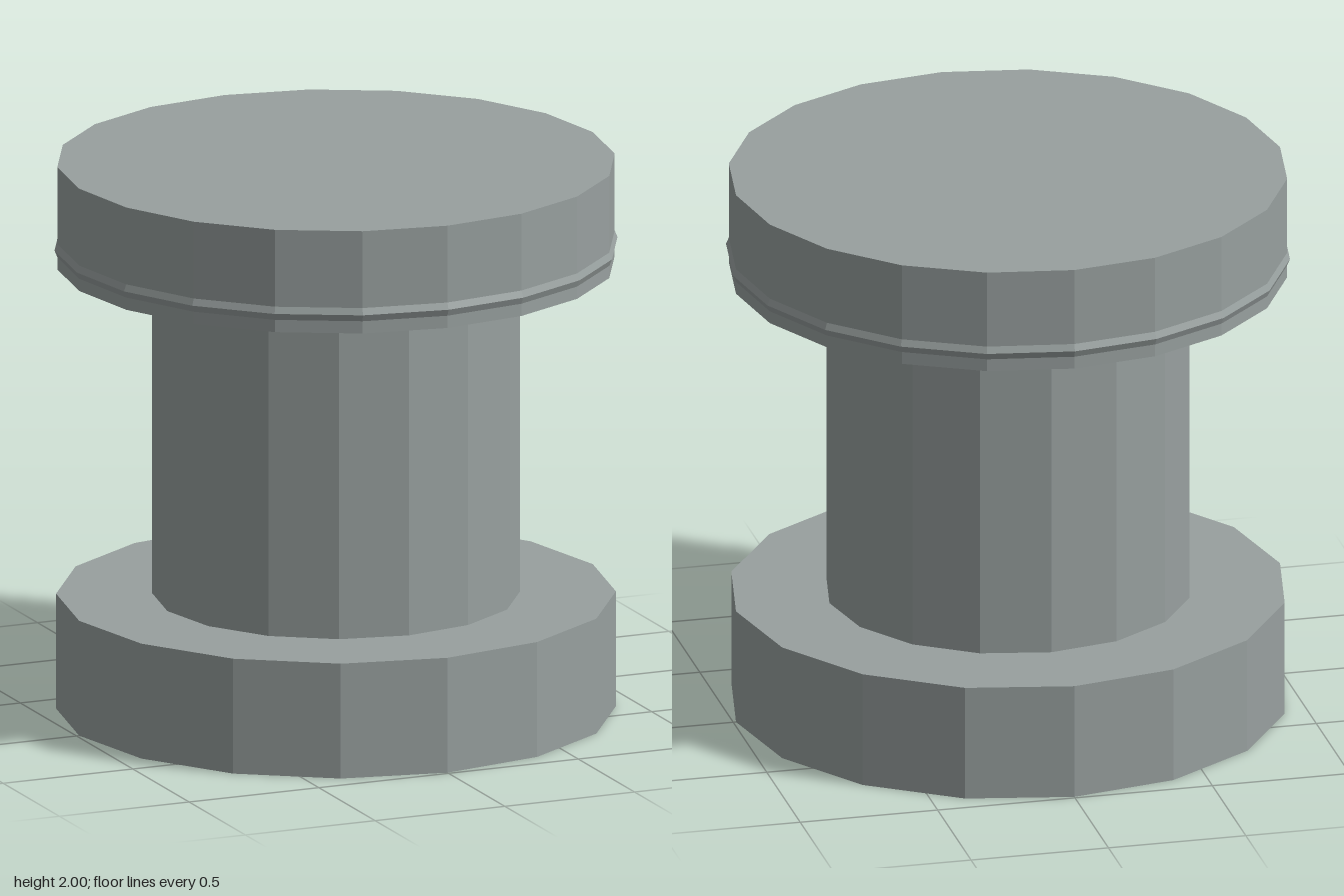
import * as THREE from 'three';

export function createModel() {
  const group = new THREE.Group();
  const steel = new THREE.MeshStandardMaterial({ color: 0x98a09f, flatShading: true });

  const add = (name, geometry, y) => {
    const mesh = new THREE.Mesh(geometry, steel);
    mesh.name = name;
    mesh.position.y = y;
    group.add(mesh);
  };
  // Upright faceted disc or post between two heights
  const drum = (name, radius, sides, bottom, top) =>
    add(name, new THREE.CylinderGeometry(radius, radius, top - bottom, sides), (top + bottom) / 2);

  drum('base', 0.99, 16, 0, 0.42);
  drum('column', 0.65, 16, 0.4, 1.64);
  drum('cap', 0.99, 20, 1.626, 2);

  // Rounded bead around the lower edge of the cap
  add('capRim', new THREE.TorusGeometry(0.925, 0.075, 8, 20).rotateX(Math.PI / 2), 1.695);

  return group;
}
